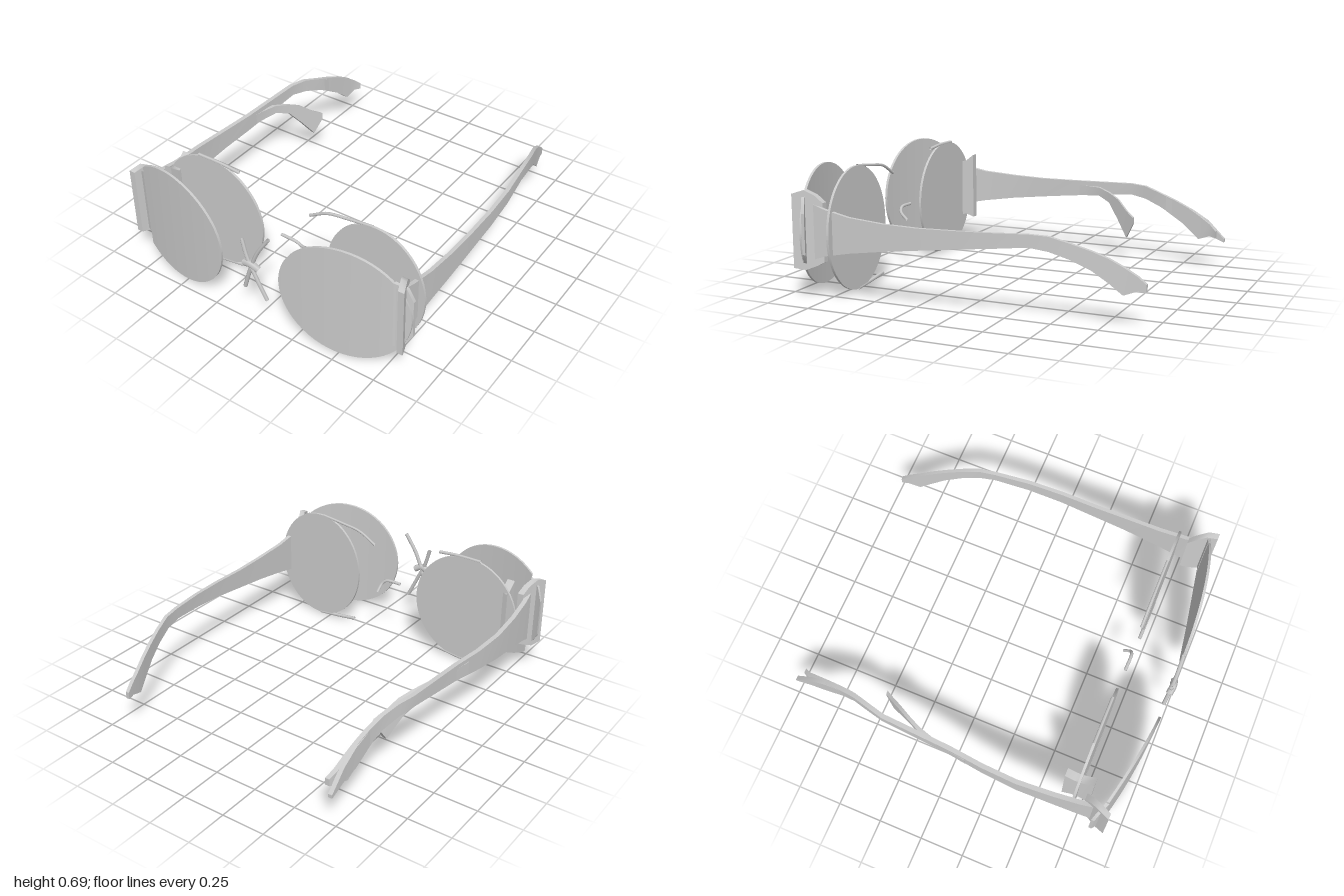
import * as THREE from 'three';

const material = new THREE.MeshStandardMaterial({ color: 0xcccccc, side: THREE.DoubleSide });

// Thin plate through stations [along, low, high, offset], running along x (offset in z) or z (offset in x)
function plate(name, axis, stations, thickness) {
  const rows = [...stations].sort((a, b) => a[0] - b[0]);
  const n = rows.length - 1;
  const geo = new THREE.BoxGeometry(1, 1, 1, n, 1, 1);
  const p = geo.attributes.position;
  const sign = axis === 'z' ? -1 : 1;
  for (let i = 0; i < p.count; i++) {
    const [along, low, high, offset] = rows[Math.round((p.getX(i) + 0.5) * n)];
    p.setXYZ(i, along, p.getY(i) > 0 ? high : low, sign * offset + p.getZ(i) * thickness);
  }
  if (axis === 'z') geo.rotateY(-Math.PI / 2);
  geo.computeVertexNormals();
  const mesh = new THREE.Mesh(geo, material);
  mesh.name = name;
  return mesh;
}

// Oval lens from x0 to x1, optionally cut off at cut, with depth given by a rule
function lens(name, x0, x1, ry, depth, cut = -Infinity) {
  const mid = (x0 + x1) / 2, r = (x1 - x0) / 2, rows = [];
  for (let i = 0; i <= 28; i++) {
    const x = Math.max(cut, mid - r * Math.cos((i / 28) * Math.PI));
    const h = ry * Math.sqrt(Math.max(0.001, 1 - ((x - mid) / r) ** 2));
    if (!rows.length || x > rows[rows.length - 1][0]) rows.push([x, 0.35 - h, 0.35 + h, depth(x)]);
  }
  return plate(name, 'x', rows, 0.014);
}

function wire(name, points, radius) {
  const curve = new THREE.CatmullRomCurve3(points.map((q) => new THREE.Vector3(...q)));
  const mesh = new THREE.Mesh(new THREE.TubeGeometry(curve, 14, radius, 6), material);
  mesh.name = name;
  return mesh;
}

export function createModel() {
  const model = new THREE.Group();
  const bowed = (x) => 0.985 - 0.16 * x * x;
  const flat = () => 0.71;

  // Bowed front lenses and flat rear lenses
  model.add(
    lens('frontLensLeft', 0.17, 0.88, 0.335, bowed),
    lens('frontLensRight', -0.92, -0.2, 0.335, bowed, -0.79),
    lens('rearLensLeft', 0.28, 0.86, 0.34, flat),
    lens('rearLensRight', -0.8, -0.14, 0.335, flat)
  );

  // Hinge blocks and outer rim ends
  for (const s of [1, -1]) {
    const side = s > 0 ? 'Left' : 'Right';
    model.add(plate('hinge' + side, 'z', [
      [0.77, 0.2, 0.52, s * 0.785], [0.81, 0.18, 0.56, s * 0.8],
      [0.86, 0.16, 0.59, s * 0.825], [0.92, 0.17, 0.57, s * 0.848]], 0.035));
    model.add(plate('rimEnd' + side, 'x', [
      [s * 0.88, 0.25, 0.47, 0.845], [s * 0.85, 0.2, 0.55, 0.86], [s * 0.79, 0.17, 0.58, 0.885]], 0.018));
  }

  // Loose waisted block beside the right rear lens
  model.add(plate('looseHinge', 'z', [
    [0.63, 0.18, 0.58, -0.72], [0.68, 0.2, 0.54, -0.715],
    [0.73, 0.18, 0.53, -0.71], [0.79, 0.15, 0.58, -0.71]], 0.045));

  // Temples: [z, low, high] shared, with x for each side
  const temple = [
    [0.84, 0.21, 0.52, 0.81, -0.81], [0.75, 0.24, 0.49, 0.81, -0.82], [0.6, 0.27, 0.46, 0.815, -0.83],
    [0.4, 0.3, 0.445, 0.82, -0.84], [0.2, 0.325, 0.44, 0.82, -0.83], [0, 0.35, 0.445, 0.82, -0.81],
    [-0.2, 0.37, 0.45, 0.81, -0.8], [-0.4, 0.39, 0.455, 0.785, -0.79], [-0.5, 0.375, 0.45, 0.77, -0.765],
    [-0.6, 0.34, 0.42, 0.745, -0.735], [-0.7, 0.29, 0.385, 0.715, -0.72], [-0.78, 0.23, 0.35, 0.69, -0.71],
    [-0.85, 0.17, 0.31, 0.67, -0.7], [-0.92, 0.195, 0.265, 0.655, -0.69]];
  model.add(plate('templeLeft', 'z', [[-0.96, 0.19, 0.23, 0.648], ...temple.map(([z, a, b, x]) => [z, a, b, x])], 0.022));
  model.add(plate('templeRight', 'z', [[-0.96, 0.19, 0.23, -0.67], ...temple.map(([z, a, b, , x]) => [z, a, b, x])], 0.026));
  model.add(plate('templeTipRight', 'z', [
    [-0.64, 0.32, 0.4, -0.725], [-0.8, 0.22, 0.34, -0.715],
    [-0.9, 0.2, 0.28, -0.715], [-1, 0.16, 0.18, -0.715]], 0.025));

  // Short branch curving inward from the right temple
  model.add(plate('templeBranch', 'z', [
    [0.1, 0.345, 0.42, -0.825], [-0.1, 0.36, 0.42, -0.8], [-0.2, 0.37, 0.42, -0.77], [-0.28, 0.34, 0.4, -0.73],
    [-0.35, 0.25, 0.37, -0.69], [-0.42, 0.15, 0.31, -0.65], [-0.47, 0.24, 0.28, -0.62]], 0.022));

  // Crossed bridge wires and a small hooked pad arm
  model.add(
    wire('bridgeDown', [[-0.06, 0.51, 0.975], [-0.03, 0.41, 0.98], [0.02, 0.3, 0.98], [0.08, 0.17, 0.975]], 0.011),
    wire('bridgeUp', [[-0.06, 0.2, 0.975], [-0.01, 0.35, 0.98], [0.04, 0.47, 0.98], [0.11, 0.58, 0.975]], 0.011),
    wire('bridgeKnot', [[-0.05, 0.37, 0.98], [0, 0.38, 0.985], [0.04, 0.36, 0.98]], 0.02),
    wire('padArm', [[-0.02, 0.38, 0.71], [0.08, 0.375, 0.71], [0.105, 0.35, 0.7], [0.11, 0.31, 0.66]], 0.009)
  );

  // Broken slivers of rim along the rear lenses
  model.add(
    wire('rimSliverTopLeft', [[0.17, 0.59, 0.71], [0.28, 0.65, 0.71], [0.4, 0.67, 0.71], [0.55, 0.688, 0.71]], 0.008),
    wire('rimSliverBottomLeft', [[0.31, 0.04, 0.71], [0.43, 0.025, 0.71], [0.57, 0.012, 0.71]], 0.01),
    wire('rimSliverTopRight', [[-0.55, 0.68, 0.71], [-0.4, 0.68, 0.71], [-0.28, 0.67, 0.71]], 0.009),
    wire('rimSliverBottomRight', [[-0.57, 0.012, 0.71], [-0.43, 0.022, 0.71], [-0.3, 0.04, 0.71]], 0.01)
  );
  return model;
}
